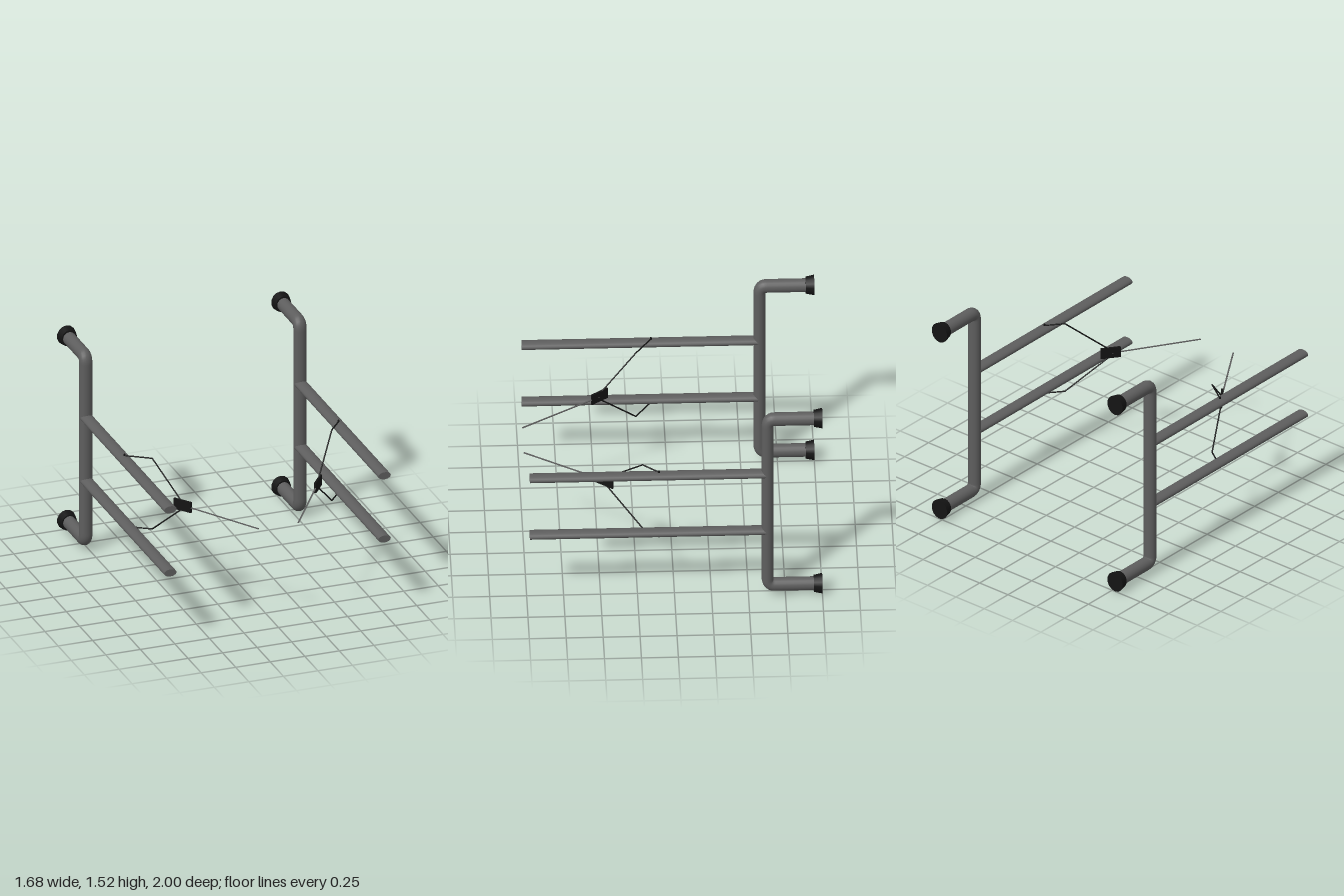
import * as THREE from 'three';

const tubeMat = new THREE.MeshStandardMaterial({ color: 0x5e5e5e });
const blackMat = new THREE.MeshStandardMaterial({ color: 0x141414 });
const V = (x, y, z) => new THREE.Vector3(x, y, z);

function add(parent, name, geometry, material) {
  const mesh = new THREE.Mesh(geometry, material);
  mesh.name = name;
  parent.add(mesh);
  return mesh;
}

// Thin round rod between two points, sunk slightly past each end
function rod(parent, name, a, b, radius, material) {
  const dir = b.clone().sub(a);
  const mesh = add(parent, name, new THREE.CylinderGeometry(radius, radius, dir.length() + radius, 8), material);
  mesh.position.copy(a).add(b).multiplyScalar(0.5);
  mesh.quaternion.setFromUnitVectors(V(0, 1, 0), dir.normalize());
  return mesh;
}

// C-shaped bent tube: back, up the front, and back again
function bentTube() {
  const sz = 0.87, back = -0.97 / sz, front = -0.63 / sz, bend = 0.055, low = 0.075, high = 1.445;
  const path = new THREE.CurvePath();
  path.add(new THREE.LineCurve3(V(0, low, back), V(0, low, front - bend)));
  path.add(new THREE.QuadraticBezierCurve3(V(0, low, front - bend), V(0, low, front), V(0, low + bend, front)));
  path.add(new THREE.LineCurve3(V(0, low + bend, front), V(0, high - bend, front)));
  path.add(new THREE.QuadraticBezierCurve3(V(0, high - bend, front), V(0, high, front), V(0, high, front - bend)));
  path.add(new THREE.LineCurve3(V(0, high, front - bend), V(0, high, back)));
  return new THREE.TubeGeometry(path, 160, 0.047, 20).scale(0.97, 1, sz);
}

function buildSide(s) {
  const side = new THREE.Group();
  side.name = s > 0 ? 'leftRack' : 'rightRack';
  const x = s * 0.775;

  add(side, 'bentUpright', bentTube(), tubeMat).position.x = x;

  // Flared feet on the tube ends
  for (const y of [0.073, 1.445]) {
    const foot = new THREE.CylinderGeometry(0.056, 0.068, 0.058, 14).rotateX(-Math.PI / 2).scale(1, 1.06, 1);
    // wide end faces the back
    if (foot.attributes.position.getZ(0) < 0) foot.rotateY(Math.PI);
    add(side, 'foot', foot, blackMat).position.set(x, y, -0.971);
  }

  // Flattened oval rails
  for (const y of [0.995, 0.525]) {
    const rail = new THREE.CylinderGeometry(0.045, 0.045, 1.605, 20).rotateX(Math.PI / 2).scale(1, 0.58, 1);
    add(side, 'rail', rail, tubeMat).position.set(x, y, 0.1775);
  }

  // Bent wire arms running from each rail to the plate
  const kneeX = s > 0 ? 0.685 : 0.615;
  for (const [y, endY] of [[1.023, 0.785], [0.497, 0.73]]) {
    const pivot = V(x, y, 0.105), knee = V(s * kneeX, y, 0.213);
    rod(side, 'armBase', pivot, knee, 0.005, blackMat);
    rod(side, 'armStrut', knee, V(s * 0.493, endY, 0.457), 0.005, blackMat);
    add(side, 'armPin', new THREE.CylinderGeometry(0.007, 0.007, 0.022, 8), blackMat).position.copy(pivot);
  }

  // Upright plate holding the long thin pointer
  const plate = add(side, 'plate', new THREE.BoxGeometry(0.014, 0.078, 0.138), blackMat);
  plate.position.set(s * 0.49, 0.76, 0.463);
  plate.rotation.y = -s * Math.atan2(0.08, 0.107);
  const pointer = add(side, 'pointer', new THREE.BoxGeometry(0.01, 0.005, 0.63), tubeMat);
  pointer.position.set(s * 0.314, 0.758, 0.732);
  pointer.rotation.y = -s * Math.atan2(0.31, 0.485);
  return side;
}

export function createModel() {
  const model = new THREE.Group();
  model.name = 'wallRack';
  for (const s of [1, -1]) model.add(buildSide(s));
  return model;
}
